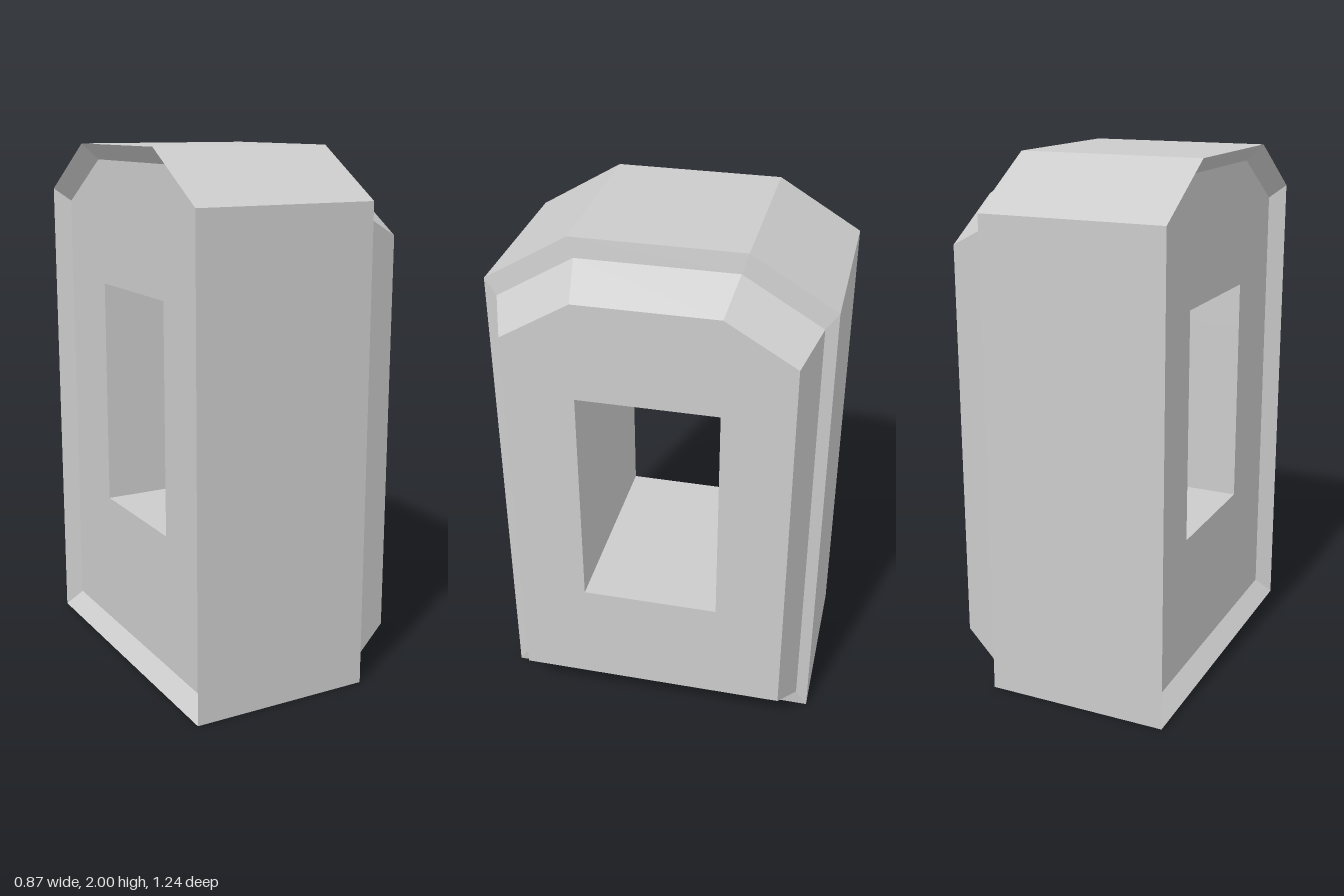
import * as THREE from 'three';

// Outline of the block in [z, y], going round from the bottom
const outline = [[-0.622, 0], [0.622, 0], [0.622, 1.815], [0.312, 2], [-0.312, 2], [-0.622, 1.815]];
// Window outline with matching corners
const opening = [[-0.26, 0.585], [0.26, 0.585], [0.26, 1.3], [0.26, 1.465], [-0.26, 1.465], [-0.26, 1.3]];

// Outline shrunk about the middle of the block
const scaled = (s) => outline.map(([z, y]) => [z * s, 1 + (y - 1) * s]);

// Joins [x, loop] sections with flat quads
function skin(sections) {
  const pos = [];
  for (let i = 0; i < sections.length - 1; i++) {
    const [xa, a] = sections[i];
    const [xb, b] = sections[i + 1];
    for (let j = 0; j < a.length; j++) {
      const k = (j + 1) % a.length;
      const p = [xa, a[j][1], a[j][0]], q = [xb, b[j][1], b[j][0]];
      const r = [xb, b[k][1], b[k][0]], t = [xa, a[k][1], a[k][0]];
      pos.push(...p, ...q, ...r, ...p, ...r, ...t);
    }
  }
  const geo = new THREE.BufferGeometry();
  geo.setAttribute('position', new THREE.Float32BufferAttribute(pos, 3));
  geo.computeVertexNormals();
  return geo;
}

export function createModel() {
  const group = new THREE.Group();
  group.name = 'windowBlock';
  const material = new THREE.MeshStandardMaterial({ color: 0xcccccc, flatShading: true });
  const add = (name, sections) => {
    const mesh = new THREE.Mesh(skin(sections), material);
    mesh.name = name;
    group.add(mesh);
  };
  const floorX = -0.375, backX = -0.435, sideX = 0.263, stepX = 0.272, faceX = 0.432;

  // Recessed side with a bevelled rim
  add('recess', [[floorX, opening], [floorX, scaled(0.94)], [backX, outline]]);
  // Main body and its shallow shoulder
  add('body', [[backX, outline], [sideX, outline], [stepX, scaled(0.928)]]);
  // Raised panel with tapered edges
  add('raisedPanel', [[stepX, scaled(0.928)], [faceX, scaled(0.835)], [faceX, opening]]);
  // Walls of the opening through the block
  add('openingWalls', [[faceX, opening], [floorX, opening]]);
  return group;
}
